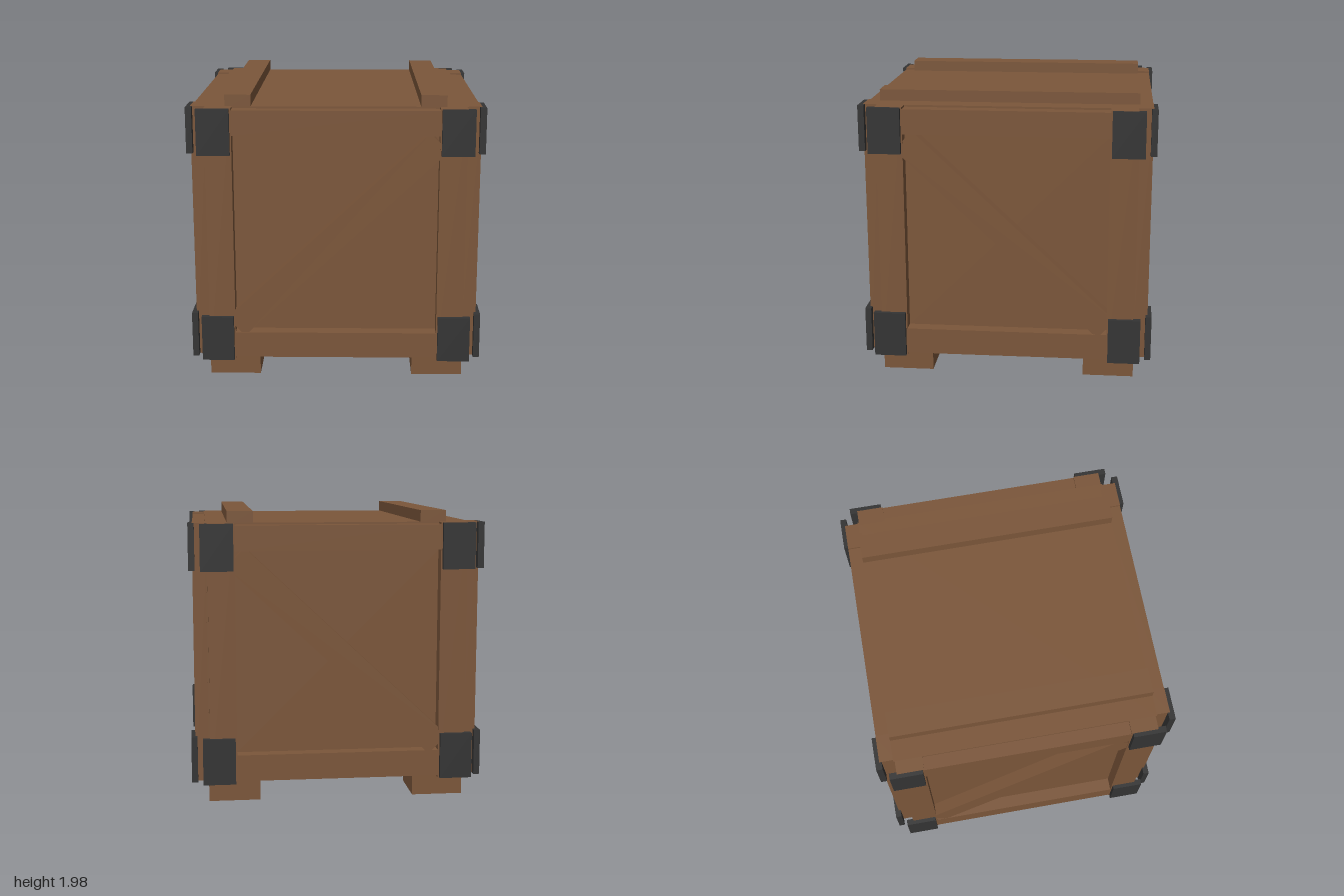
import * as THREE from 'three';

export function createModel() {
  const crate = new THREE.Group();
  crate.name = 'crate';

  const wood = new THREE.MeshStandardMaterial({ color: 0x7b563a });
  wood.name = 'wood';
  const iron = new THREE.MeshStandardMaterial({ color: 0x343434 });
  iron.name = 'darkIron';

  // Box given by its lower and upper corner
  function block(parent, name, material, [x0, y0, z0], [x1, y1, z1]) {
    const mesh = new THREE.Mesh(new THREE.BoxGeometry(x1 - x0, y1 - y0, z1 - z0), material);
    mesh.position.set((x0 + x1) / 2, (y0 + y1) / 2, (z0 + z1) / 2);
    mesh.name = name;
    parent.add(mesh);
    return mesh;
  }

  const core = 0.88, face = 0.97, inner = 0.69, outer = 0.87;
  const bottom = 0.145, top = 1.903;

  block(crate, 'body', wood, [-core, bottom, -core], [core, top, core]);

  // One framed side, built facing +z; slope is the direction of its brace
  function framedSide(name, angle, slope) {
    const side = new THREE.Group();
    side.name = name;
    side.rotation.y = angle;
    const back = core - 0.02;

    for (const s of [-1, 1]) {
      const xs = [s * inner, s * outer].sort((a, b) => a - b);
      block(side, 'post', wood, [xs[0], bottom, back], [xs[1], top, face]);

      // Metal corner plates overhanging the post
      const ps = [s * 0.7, s * 0.92].sort((a, b) => a - b);
      for (const [y0, y1] of [[0.146, 0.46], [1.59, 1.902]]) {
        block(side, 'cornerPlate', iron, [ps[0], y0, 0.955], [ps[1], y1, 0.997]);
      }
    }

    // Top and bottom rails
    for (const [y0, y1] of [[0.16, 0.34], [1.72, 1.89]]) {
      block(side, 'rail', wood, [-inner, y0, back], [inner, y1, face]);
    }

    // Diagonal brace
    const brace = block(side, 'brace', wood, [-0.945, 0.941, back], [0.945, 1.119, face - 0.002]);
    brace.rotation.z = slope * 0.757;
    crate.add(side);
  }

  framedSide('frontSide', 0, 1);
  framedSide('leftSide', Math.PI / 2, -1);
  framedSide('backSide', Math.PI, -1);
  framedSide('rightSide', -Math.PI / 2, 1);

  // Lid battens and feet
  for (const s of [-1, 1]) {
    const bx = [s * 0.565, s * 0.738].sort((a, b) => a - b);
    block(crate, 'lidBatten', wood, [bx[0], top - 0.02, -core], [bx[1], 1.98, core]);
    const fx = [s * 0.53, s * core].sort((a, b) => a - b);
    for (const t of [-1, 1]) {
      const fz = [t * 0.53, t * core].sort((a, b) => a - b);
      block(crate, 'foot', wood, [fx[0], 0, fz[0]], [fx[1], bottom, fz[1]]);
    }
  }

  return crate;
}
